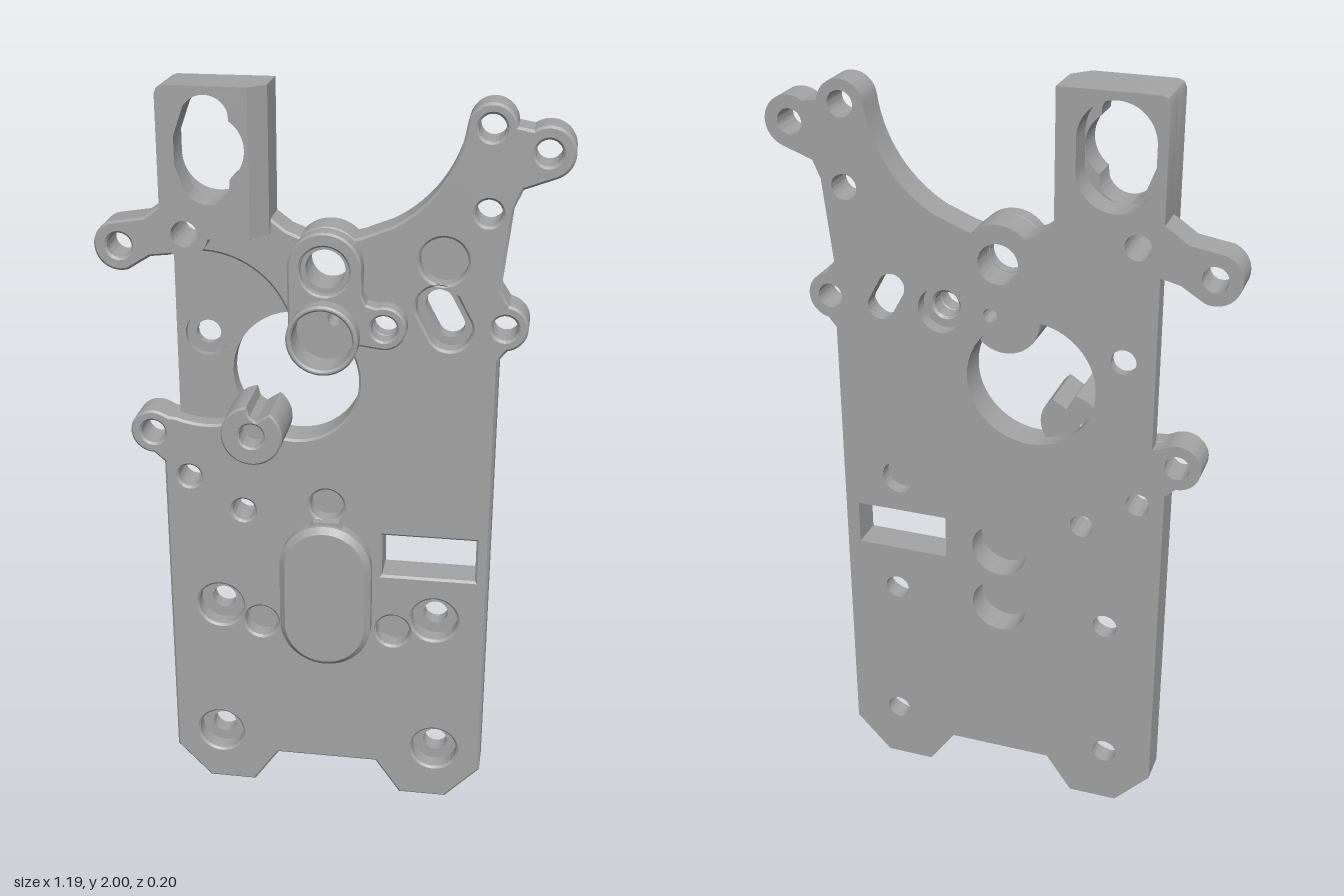
import * as THREE from 'three';
import { toCreasedNormals } from 'three/addons/utils/BufferGeometryUtils.js';

const RAD = Math.PI / 180;

// Path items: [x, y] is a corner, [cx, cy, r, from, to] an arc in degrees (clockwise if to < from)
function trace(path, items) {
  items.forEach((p, i) => {
    if (p.length > 2) path.absarc(p[0], p[1], p[2], p[3] * RAD, p[4] * RAD, p[4] < p[3]);
    else if (i === 0) path.moveTo(p[0], p[1]);
    else path.lineTo(p[0], p[1]);
  });
  path.closePath();
  return path;
}
const circle = (x, y, r) => [[x, y, r, 0, 360]];

// Stadium between two centres
function slot(x0, y0, x1, y1, r) {
  const a = Math.atan2(y1 - y0, x1 - x0) / RAD;
  return [[x0, y0, r, a + 90, a + 270], [x1, y1, r, a - 90, a + 90]];
}

export function createModel() {
  const model = new THREE.Group();
  const grey = new THREE.MeshStandardMaterial({ color: 0xa3a3a3 });
  grey.name = 'grey metal';

  function add(name, geometry) {
    const mesh = new THREE.Mesh(toCreasedNormals(geometry, 0.5), grey);
    mesh.name = name;
    model.add(mesh);
    return mesh;
  }
  // Extrudes an outline from z0 to z1; the bevel cuts the front edge and sinks below z0
  function slab(name, outline, holes, z0, z1, bevel = 0) {
    const shape = trace(new THREE.Shape(), outline);
    shape.holes = holes.map((h) => trace(new THREE.Path(), h));
    const geometry = new THREE.ExtrudeGeometry(shape, {
      depth: z1 - z0 - bevel, curveSegments: 24,
      bevelEnabled: bevel > 0, bevelThickness: bevel, bevelSize: bevel,
      bevelOffset: -bevel, bevelSegments: 1,
    });
    geometry.translate(0, 0, z0);
    return add(name, geometry);
  }

  // Plate outline, with the left edge between the two lugs left open for a variant
  const outline = (leftEdge) => [
    [-0.34, 0], [-0.21, 0], [-0.14, 0.1], [0.14, 0.1], [0.21, 0], [0.34, 0], [0.435, 0.1],
    [0.435, 1.33], [0.445, 1.415, 0.06, -80, 80], [0.432, 1.51], [0.455, 1.72], [0.475, 1.765],
    [0.53, 1.855, 0.065, -70, 125], [0.395, 1.91, 0.06, 5, 165],
    [0, 1.96, 0.338, -8, -62], [0.085, 1.632], [0, 1.56, 0.095, 45, 135],
    [-0.1, 1.64], [-0.14, 1.67], [-0.14, 1.7], [-0.405, 1.7], [-0.43, 1.685], [-0.465, 1.66],
    [-0.53, 1.585, 0.065, 110, 290], [-0.45, 1.56],
    ...leftEdge,
    [-0.42, 1.125], [-0.465, 1.08, 0.06, 60, 270], [-0.437, 0.995], [-0.435, 0.1],
  ];
  const straightEdge = [[-0.4, 1.572], [-0.4, 1.12]];
  // Round pocket merging with the main opening
  const pocketEdge = [
    [-0.32, 1.345, 0.235, 110, 18], [-0.085, 1.25, 0.168, 94, -138], [-0.32, 1.345, 0.235, -62, -110],
  ];

  // Holes that pass through every layer
  const through = [
    [-0.53, 1.585, 0.032], [-0.465, 1.08, 0.032], [0.447, 1.415, 0.032], [0.53, 1.855, 0.032],
    [0.395, 1.91, 0.033], [0.395, 1.705, 0.033], [-0.345, 1.64, 0.033], [0, 1.555, 0.052],
    [0.02, 1.42, 0.018], [-0.37, 0.958, 0.031], [-0.225, 0.868, 0.031],
    [0, 0.75, 0.075], [0, 0.575, 0.075],
  ].map((h) => circle(...h));
  through.push([[0.15, 0.7], [0.4, 0.7], [0.4, 0.82], [0.15, 0.82]]);

  const screws = [[-0.305, 0.16], [0.305, 0.16], [-0.295, 0.573], [0.295, 0.573]];
  const screwHoles = (r) => screws.map(([x, y]) => circle(x, y, r));
  const slotHole = (r) => slot(0.28, 1.46, 0.31, 1.405, r);
  const opening = circle(-0.085, 1.25, 0.168);
  const backBlind = [circle(0.28, 0.92, 0.045), circle(0.15, 1.415, 0.06)];
  const frontBlind = [[0.29, 1.58, 0.06], [0, 0.897, 0.045], [-0.182, 0.53, 0.046], [0.182, 0.53, 0.046]]
    .map((h) => circle(...h));

  // Plate in three layers
  slab('plateBack', outline(straightEdge),
    [...through, ...screwHoles(0.033), ...backBlind, opening, slotHole(0.035), circle(-0.32, 1.345, 0.032)],
    -0.105, -0.08);
  slab('plateMiddle', outline(straightEdge),
    [...through, ...screwHoles(0.033), ...backBlind, opening, slotHole(0.035), circle(-0.32, 1.345, 0.057)],
    -0.08, -0.06);
  slab('plateFront', outline(pocketEdge),
    [...through, ...screwHoles(0.063), ...frontBlind, slotHole(0.056), circle(0.15, 1.415, 0.033)],
    -0.06, -0.012, 0.006);

  // Upright bracket with a stepped keyhole and a rounded foot
  const bracket = [
    [-0.385, 2], [-0.399, 1.994], [-0.405, 1.98], [-0.405, 1.64],
    [-0.345, 1.64, 0.06, 180, 350], [-0.18, 1.63], [-0.18, 2],
  ];
  const keyhole = [
    [-0.275, 1.85, 0.085, -55, 55], [-0.285, 1.92, 0.06, 20, 150],
    [-0.362, 1.88], [-0.362, 1.81], [-0.285, 1.775, 0.06, 210, 340],
  ];
  const backHole = [[-0.285, 1.885, 0.095, 0, 180], [-0.285, 1.81, 0.095, 180, 360]];
  const foot = circle(-0.345, 1.64, 0.033);
  slab('bracketBack', bracket, [backHole, foot], -0.105, -0.03);
  slab('bracketFront', bracket, [keyhole, foot], -0.03, 0.05);

  // Sloping side of the bracket, extruded upward
  const side = trace(new THREE.Shape(), [[-0.18, 0.105], [-0.18, -0.05], [-0.14, -0.005], [-0.14, 0.105]]);
  const sideGeometry = new THREE.ExtrudeGeometry(side, { depth: 0.365, bevelEnabled: false });
  sideGeometry.rotateX(-Math.PI / 2);
  sideGeometry.translate(0, 1.635, 0);
  add('bracketSlope', sideGeometry);

  // Raised hub joining three bosses
  slab('hub', [
    [0, 1.56, 0.093, 0, 180], [0, 1.39, 0.091, 180, 345],
    [0.15, 1.415, 0.056, -100, 110], [0.105, 1.475], [0.093, 1.5],
  ], [circle(0, 1.555, 0.062), circle(0, 1.39, 0.077), circle(0.15, 1.415, 0.033)], -0.012, 0.035, 0.005);
  slab('hubStep', circle(0, 1.555, 0.065), [circle(0, 1.555, 0.05)], -0.02, 0.01);

  // Cup with a closed floor and a small pin hole
  slab('cupWall', circle(0, 1.39, 0.091), [circle(0, 1.39, 0.077)], -0.05, 0.08, 0.005);
  slab('cupFloor', circle(0, 1.39, 0.09), [circle(0.02, 1.42, 0.018)], -0.055, -0.011);

  // Notched post beside the opening
  const post = [[-0.178, 1.132, 0.08, 98, 412], [-0.145, 1.185], [-0.165, 1.172], [-0.182, 1.185]];
  slab('postBase', post, [], -0.06, 0.04);
  slab('post', post, [circle(-0.178, 1.132, 0.032)], 0.04, 0.1, 0.005);

  // Domed cover over the two rear bores
  slab('cover', slot(0, 0.552, 0, 0.725, 0.124), [], -0.012, 0.034, 0.016);
  slab('coverNeck', [[-0.05, 0.83], [0.05, 0.83], [0.035, 0.856], [-0.035, 0.856]], [], -0.012, 0.008);

  return model;
}
